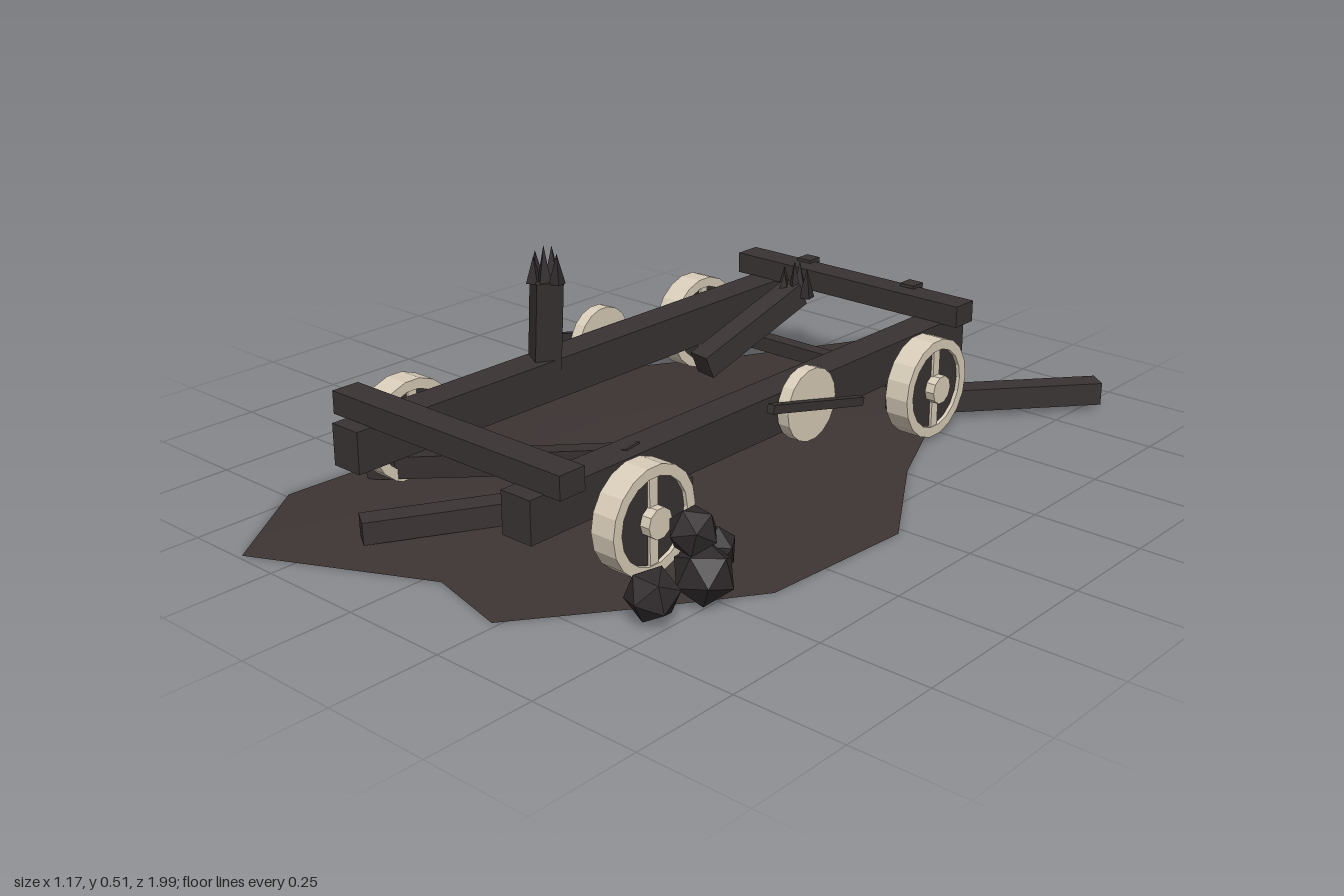
import * as THREE from 'three';

export function createModel() {
  const root = new THREE.Group();
  root.name = 'ruinedCart';
  const mat = (name, color, extra = {}) => {
    const m = new THREE.MeshStandardMaterial({ color, ...extra });
    m.name = name;
    return m;
  };
  const wood = mat('charredWood', 0x3a3333);
  const soil = mat('scorchedSoil', 0x3d3534, { side: THREE.DoubleSide });
  const coal = mat('coal', 0x2f2a2b);
  const ivory = mat('ashIvory', 0xd8cdb9);
  const V = (x, y, z) => new THREE.Vector3(x, y, z);

  function add(name, geo, material, x = 0, y = 0, z = 0, parent = root) {
    const mesh = new THREE.Mesh(geo, material);
    mesh.name = name;
    mesh.position.set(x, y, z);
    parent.add(mesh);
    return mesh;
  }
  const box = (name, w, h, d, x, y, z, m = wood, parent = root) =>
    add(name, new THREE.BoxGeometry(w, h, d), m, x, y, z, parent);
  // Faceted normals
  function flat(geo) {
    const g = geo.index ? geo.toNonIndexed() : geo;
    g.computeVertexNormals();
    return g;
  }
  // Timber running between two points
  function beam(name, a, b, w, h) {
    const c = a.clone().add(b).multiplyScalar(0.5);
    const mesh = box(name, w, h, a.distanceTo(b), c.x, c.y, c.z);
    mesh.lookAt(b);
    return mesh;
  }

  // Low mound of scorched ground: outline, inner ring and peak
  const outline = [
    [-0.145, -1], [0.04, -0.74], [0.21, -0.72], [0.32, -0.46], [0.41, -0.26], [0.585, 0.02],
    [0.56, 0.4], [0.4, 0.63], [0.235, 0.85], [0.035, 0.8], [-0.36, 0.99], [-0.535, 0.74],
    [-0.515, 0.32], [-0.59, 0.03], [-0.55, -0.3], [-0.36, -0.6],
  ];
  const n = outline.length;
  const pos = [0, 0.048, 0];
  for (const [s, y] of [[0.5, 0.036], [1, 0.004]])
    for (const [x, z] of outline) pos.push(x * s, y, z * s);
  const idx = [];
  for (let i = 0; i < n; i++) {
    const a = 1 + i, b = 1 + ((i + 1) % n);
    idx.push(0, b, a, a, b, b + n, a, b + n, a + n);
  }
  const ground = new THREE.BufferGeometry();
  ground.setAttribute('position', new THREE.Float32BufferAttribute(pos, 3));
  ground.setIndex(idx);
  ground.computeVertexNormals();
  add('ground', ground, soil);

  // Chassis, mirrored about its own centre line
  const CX = -0.04;
  for (const s of [-1, 1]) box('sideRail', 0.08, 0.095, 1.46, CX + s * 0.255, 0.185, 0.03);
  box('frontCrossBeam', 0.675, 0.052, 0.068, CX, 0.257, 0.688);
  box('rearCrossBeam', 0.675, 0.052, 0.068, CX, 0.257, -0.637);
  for (const x of [-0.2, 0.12]) box('bolt', 0.04, 0.03, 0.04, x, 0.276, -0.668);

  // Wheels: ivory rim, hub and spoke over a dark panel
  const R = 0.119, r = 0.095, h = 0.03;
  const rimGeo = flat(new THREE.LatheGeometry(
    [[r, -h], [R, -h], [R, h], [r, h], [r, -h]].map(p => new THREE.Vector2(...p)), 18));
  const panelGeo = flat(new THREE.CylinderGeometry(0.097, 0.097, 0.042, 18));
  const hubGeo = flat(new THREE.CylinderGeometry(0.034, 0.034, 0.09, 10));
  for (const z of [0.513, -0.456]) {
    box('axle', 0.66, 0.036, 0.036, CX, 0.126, z);
    for (const s of [-1, 1]) {
      const wheel = new THREE.Group();
      wheel.name = 'wheel';
      wheel.position.set(CX + s * 0.358, 0.132, z);
      wheel.rotation.z = -Math.PI / 2;
      root.add(wheel);
      add('rim', rimGeo, ivory, 0, 0, 0, wheel);
      add('panel', panelGeo, wood, 0, 0, 0, wheel);
      add('hub', hubGeo, ivory, 0, 0, 0, wheel);
      box('spoke', 0.194, 0.054, 0.024, 0, 0, 0, ivory, wheel);
    }
  }

  // Side discs, each crossed by a thin tilted bar
  const discGeo = flat(new THREE.CylinderGeometry(0.084, 0.084, 0.03, 18));
  for (const s of [-1, 1]) {
    add('sideDisc', discGeo, ivory, CX + s * 0.315, 0.194, -0.058).rotation.z = Math.PI / 2;
    box('sideBar', 0.018, 0.02, 0.33, CX + s * 0.342, 0.197, -0.06).rotation.x = -0.23;
  }

  // Fallen timbers
  beam('fallenBeamRear', V(0.19, 0.05, -0.49), V(0.525, 0.046, -0.895), 0.055, 0.055);
  beam('fallenBeamFront', V(-0.21, 0.043, 0.8), V(0.165, 0.058, 0.205), 0.055, 0.05);
  beam('leaningBeam', V(-0.465, 0.034, 0.56), V(0.228, 0.212, 0.44), 0.048, 0.05);

  // Broken posts ending in splinters
  const splinters = [[-0.03, 0.005, 0.066], [-0.008, -0.025, 0.075], [0.008, 0.015, 0.088],
    [0.033, 0.0, 0.07], [-0.012, 0.028, 0.062]];
  function brokenPost(a, b, w) {
    beam('brokenPost', a, b, w, w);
    for (const [x, z, len] of splinters)
      add('splinter', flat(new THREE.ConeGeometry(0.019, len, 4)), coal,
        b.x + x, b.y - 0.008 + len / 2, b.z + z).rotation.y = x * 30;
  }
  brokenPost(V(-0.296, 0.2, 0.183), V(-0.262, 0.432, 0.202), 0.062);
  brokenPost(V(-0.035, 0.205, -0.065), V(0.013, 0.325, -0.345), 0.056);

  // Coal heap
  for (const [x, y, z, rad] of [[0.42, 0.064, 0.42, 0.05], [0.488, 0.072, 0.528, 0.066],
    [0.465, 0.066, 0.65, 0.057], [0.475, 0.163, 0.545, 0.053]]) {
    const lump = add('coalLump', flat(new THREE.IcosahedronGeometry(rad, 0)), coal, x, y, z);
    lump.rotation.set(z * 7, x * 9, y * 5);
  }

  // Ragged ash piles: flattened cones with alternating radii
  for (const [x, z, size, turn] of [[0.04, -0.085, 0.055, 0.3], [-0.185, 0.375, 0.045, 1.4]]) {
    const g = new THREE.ConeGeometry(size, 0.026, 14);
    const p = g.attributes.position;
    for (let i = 0; i < p.count; i++) {
      const a = Math.round((Math.atan2(p.getZ(i), p.getX(i)) / Math.PI) * 7);
      const k = (a % 2 ? 0.62 : 1) * (1 + 0.15 * Math.sin((a + 14) % 14 * 2.3));
      p.setX(i, p.getX(i) * k);
      p.setZ(i, p.getZ(i) * k * 0.8);
    }
    add('ashPile', flat(g), ivory, x, 0.054, z).rotation.y = turn;
  }
  return root;
}
